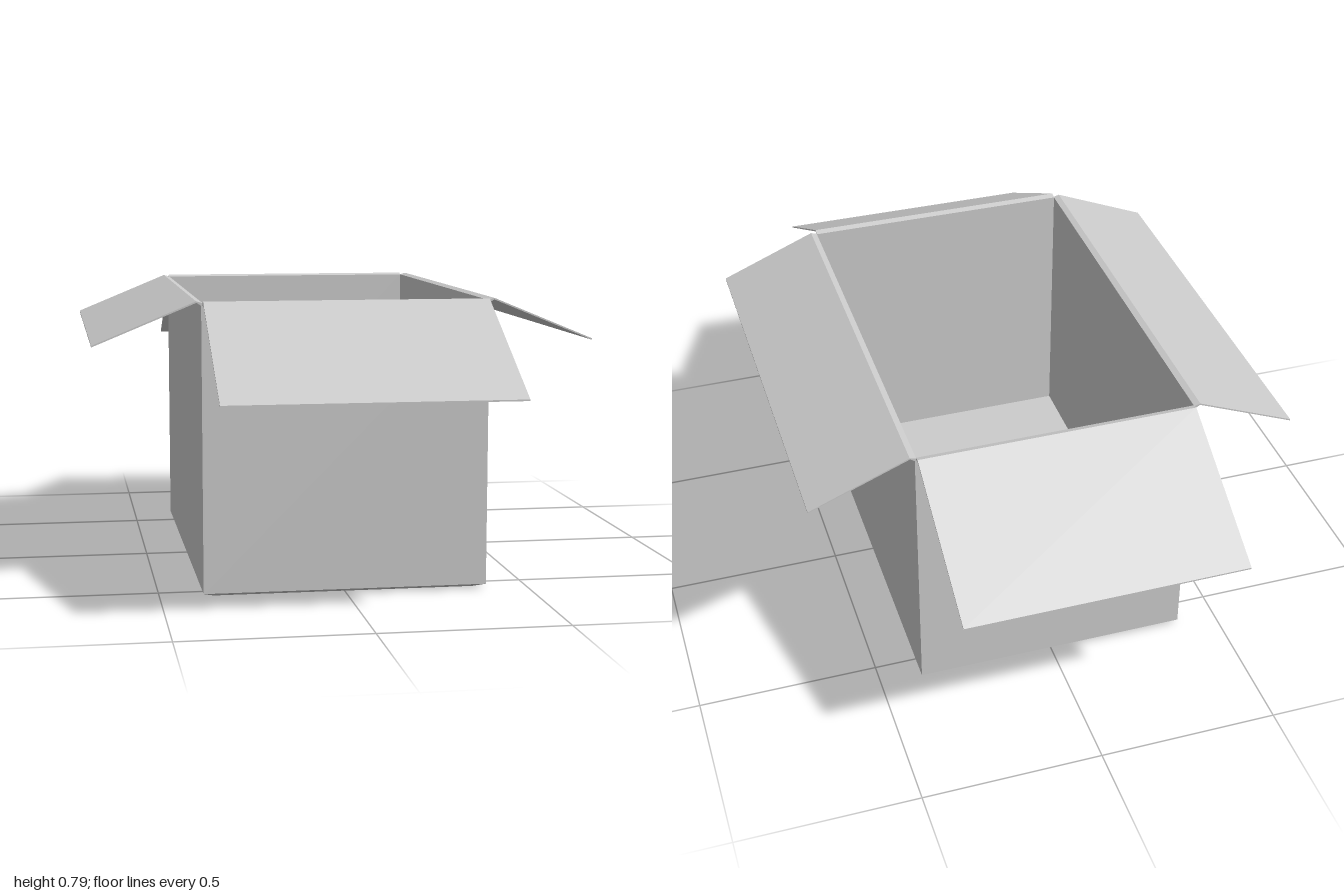
import * as THREE from 'three';

const HX = 0.385, HZ = 0.58, TOP = 0.79, T = 0.004, BEVEL = 0.012;

const material = new THREE.MeshStandardMaterial({ color: 0xcccccc, side: THREE.DoubleSide });

// One folded card sheet: wall, rounded-over crease and sloping flap.
// `half` is the wall's distance from the centre; the flap ends at (tipOut, tipY).
function panelGeometry(half, width, tipOut, tipY) {
  const profile = [
    [half, BEVEL], [half, TOP - 0.012], [half + 0.012, TOP - T], [tipOut, tipY - T],
    [tipOut, tipY], [half + 0.013, TOP], [half - T, TOP - 0.005], [half - T, BEVEL],
  ].map(([u, y]) => new THREE.Vector2(u, y));
  const geometry = new THREE.ExtrudeGeometry(new THREE.Shape(profile), { depth: width, bevelEnabled: false });
  return geometry.translate(0, 0, -width / 2);
}

export function createModel() {
  const group = new THREE.Group();

  const add = (name, geometry, angle = 0) => {
    const mesh = new THREE.Mesh(geometry, material);
    mesh.name = name;
    mesh.rotation.y = angle;
    group.add(mesh);
  };

  // Floor, tapering inward at its underside
  const floor = new THREE.BoxGeometry(2 * HX, BEVEL, 2 * HZ).translate(0, BEVEL / 2, 0);
  const p = floor.attributes.position;
  for (let i = 0; i < p.count; i++) {
    if (p.getY(i) < BEVEL / 2) {
      p.setX(i, p.getX(i) - Math.sign(p.getX(i)) * 0.03);
      p.setZ(i, p.getZ(i) - Math.sign(p.getZ(i)) * 0.03);
    }
  }
  floor.computeVertexNormals();
  add('floor', floor);

  // Long sides with short flaps
  const side = panelGeometry(HX, 2 * HZ, 0.67, 0.678);
  add('leftWallAndFlap', side, 0);
  add('rightWallAndFlap', side, Math.PI);

  // Short ends with long flaps, fitted between the sides
  const end = panelGeometry(HZ, 2 * (HX - T), 1.0, 0.572);
  add('frontWallAndFlap', end, -Math.PI / 2);
  add('backWallAndFlap', end, Math.PI / 2);

  return group;
}
